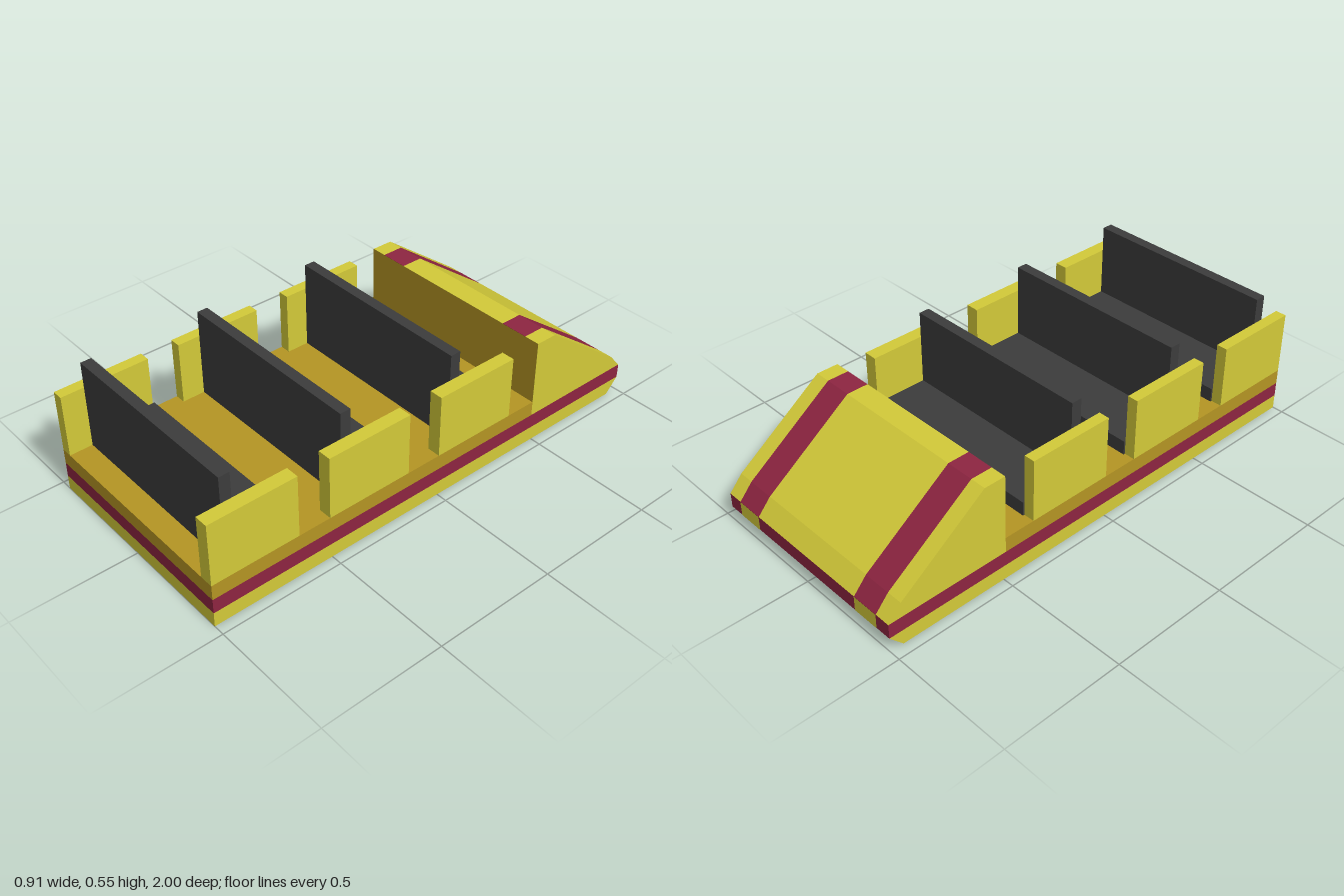
import * as THREE from 'three';

const W = 0.455; // half width of the car

function mat(name, color) {
  const m = new THREE.MeshStandardMaterial({ color });
  m.name = name;
  return m;
}

export function createModel() {
  const car = new THREE.Group();
  car.name = 'coasterCar';
  const yellow = mat('yellow', 0xd3ca39);
  const ochre = mat('ochre', 0xb59523);
  const red = mat('crimson', 0x8e2541);
  const dark = mat('charcoal', 0x3c3c3c);

  function add(name, geometry, material) {
    const mesh = new THREE.Mesh(geometry, material);
    mesh.name = name;
    car.add(mesh);
    return mesh;
  }

  // Box given by its limits on each axis
  function box(name, material, x0, x1, y0, y1, z0, z1) {
    add(name, new THREE.BoxGeometry(x1 - x0, y1 - y0, z1 - z0), material)
      .position.set((x0 + x1) / 2, (y0 + y1) / 2, (z0 + z1) / 2);
  }

  // Side profile of [z, y] points, extruded across x
  function profile(name, material, points, x0, x1) {
    const shape = new THREE.Shape(points.map(([z, y]) => new THREE.Vector2(-z, y)));
    const g = new THREE.ExtrudeGeometry(shape, { depth: x1 - x0, bevelEnabled: false });
    g.rotateY(Math.PI / 2).translate(x0, 0, 0);
    add(name, g, material);
  }

  // Layered chassis
  profile('lowerHull', yellow, [[1, 0], [-0.945, 0], [-1, 0.06], [1, 0.06]], -W, W);
  box('bumperBand', red, -W, W, 0.06, 0.12, -1, 1);
  box('floor', ochre, -W, W, 0.12, 0.182, -0.49, 1);

  // Sloping nose, built in strips so the racing stripes run over it
  const nose = [[-0.49, 0.12], [-1, 0.12], [-0.945, 0.182], [-0.58, 0.448], [-0.49, 0.448]];
  const cuts = [-W, -0.39, -0.275, 0.275, 0.39, W];
  for (let i = 0; i < 5; i++) {
    const striped = i % 2 === 1;
    profile(striped ? 'noseStripe' : 'nosePanel', striped ? red : yellow, nose, cuts[i], cuts[i + 1]);
    // Light patch where each stripe meets the band
    if (striped) {
      const patch = add('nosePatch', new THREE.PlaneGeometry(cuts[i + 1] - cuts[i], 0.06), yellow);
      patch.rotation.y = Math.PI;
      patch.position.set((cuts[i] + cuts[i + 1]) / 2, 0.09, -1.001);
    }
  }

  // Inner wall behind the nose
  add('dashWall', new THREE.PlaneGeometry(2 * W, 0.266), ochre).position.set(0, 0.315, -0.489);

  // Three rows: bench, backrest and a side panel on each side
  for (const z of [1, 0.507, 0]) {
    box('seatCushion', dark, -0.41, 0.4, 0.182, 0.24, z - 0.367, z - 0.135);
    box('backrest', dark, -0.41, 0.4, 0.182, 0.546, z - 0.138, z - 0.094);
    box('rightSidePanel', yellow, -W, -0.41, 0.182, 0.44, z - 0.36, z);
    box('leftSidePanel', yellow, 0.4, W, 0.182, 0.44, z - 0.36, z);
  }
  return car;
}
